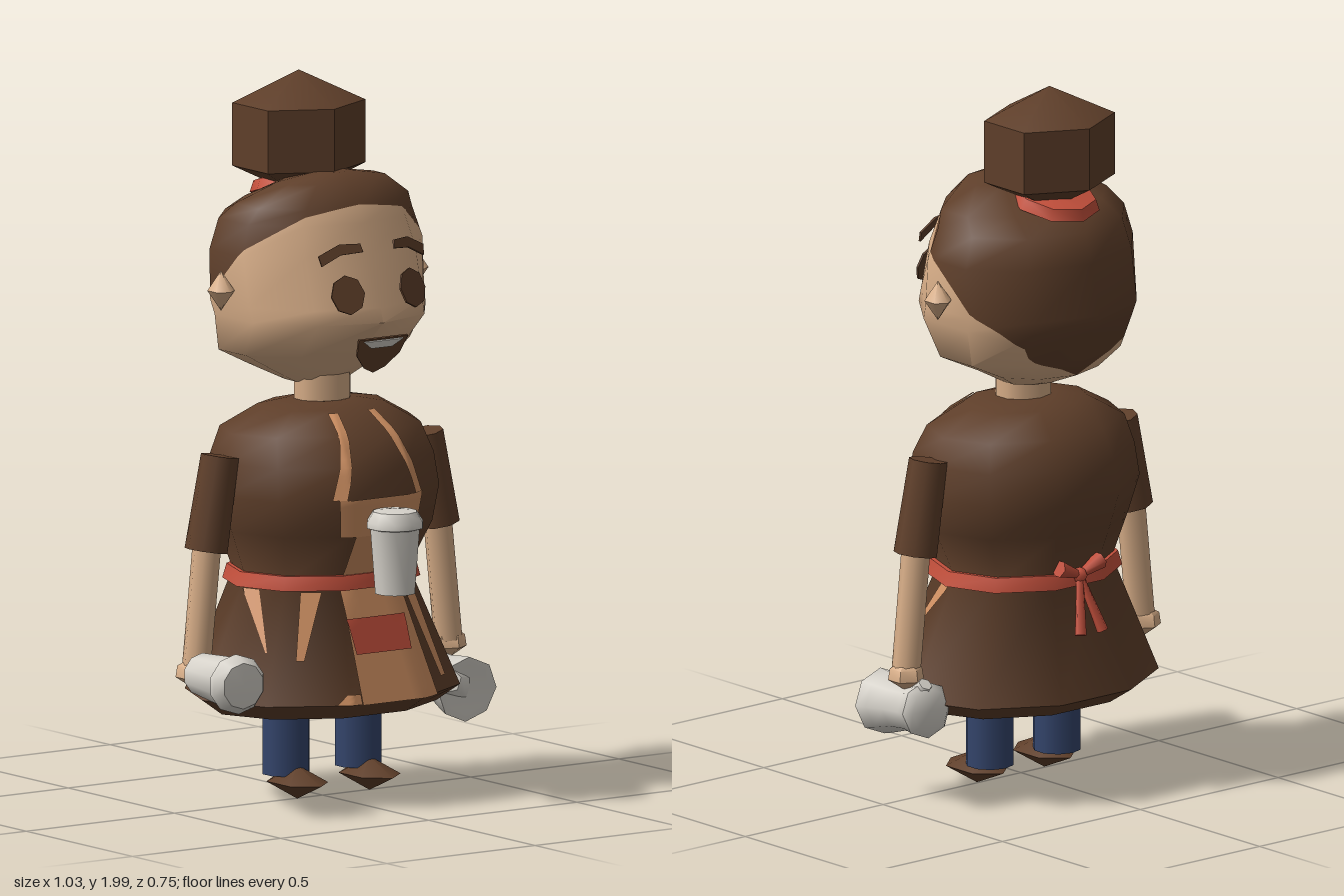
import * as THREE from 'three';
import { toCreasedNormals } from 'three/addons/utils/BufferGeometryUtils.js';

const CX = 0.033, CZ = -0.048; // body axis
const mat = (name, color, side = THREE.FrontSide) => {
  const m = new THREE.MeshStandardMaterial({ color, side });
  m.name = name;
  return m;
};
const V = (x, y, z) => new THREE.Vector3(x, y, z);

// Closed loft through ten-sided rings [y, rx, zFront, zBack], listed top to bottom
function loft(rings, phi0 = 0, n = 10) {
  const pos = [], idx = [], k = 1 / Math.cos(phi0);
  for (const [y, rx, zf, zb] of rings)
    for (let j = 0; j < n; j++) {
      const a = phi0 + (j / n) * Math.PI * 2;
      pos.push(CX + rx * Math.sin(a), y, (zf + zb) / 2 + ((zf - zb) / 2) * k * Math.cos(a));
    }
  const ends = [rings[0], rings[rings.length - 1]];
  for (const [y, , zf, zb] of ends) pos.push(CX, y, (zf + zb) / 2);
  const top = rings.length * n, last = (rings.length - 1) * n;
  for (let j = 0; j < n; j++) {
    const q = (j + 1) % n;
    for (let i = 0; i < rings.length - 1; i++) {
      const a = i * n + j, b = i * n + q;
      idx.push(a, a + n, b, b, a + n, b + n);
    }
    idx.push(top, j, q, top + 1, last + q, last + j);
  }
  const g = new THREE.BufferGeometry();
  g.setAttribute('position', new THREE.Float32BufferAttribute(pos, 3));
  g.setIndex(idx);
  return toCreasedNormals(g, 1.1);
}

// Cut a geometry along a plane: returns [part where f >= 0, part where f < 0]
function split(geo, f) {
  const P = geo.attributes.position, N = geo.attributes.normal;
  const build = (sign) => {
    const pos = [], nor = [];
    for (let t = 0; t < P.count; t += 3) {
      const poly = [];
      for (let i = 0; i < 3; i++) {
        const [a, b] = [t + i, t + ((i + 1) % 3)];
        const pa = V().fromBufferAttribute(P, a), pb = V().fromBufferAttribute(P, b);
        const na = V().fromBufferAttribute(N, a), nb = V().fromBufferAttribute(N, b);
        const da = sign * f(pa), db = sign * f(pb);
        if (da >= 0) poly.push([pa, na]);
        if (da >= 0 !== db >= 0) {
          const u = da / (da - db);
          poly.push([pa.clone().lerp(pb, u), na.clone().lerp(nb, u).normalize()]);
        }
      }
      for (let i = 1; i + 1 < poly.length; i++)
        for (const [p, q] of [poly[0], poly[i], poly[i + 1]]) { pos.push(...p); nor.push(...q); }
    }
    const g = new THREE.BufferGeometry();
    g.setAttribute('position', new THREE.Float32BufferAttribute(pos, 3));
    g.setAttribute('normal', new THREE.Float32BufferAttribute(nor, 3));
    return g;
  };
  return [build(1), build(-1)];
}

const DRESS = [[1.105, .1, .03, -.13], [1.09, .19, .08, -.19], [1.03, .3, .16, -.275], [.95, .325, .21, -.31],
  [.86, .335, .232, -.33], [.76, .31, .22, -.3], [.63, .255, .15, -.26], [.3, .405, .262, -.355], [.255, .34, .2, -.29]];

// Front surface of the dress at (x, y)
function dressZ(x, y) {
  let i = 0;
  while (i < DRESS.length - 2 && DRESS[i + 1][0] > y) i++;
  const u = (DRESS[i][0] - y) / (DRESS[i][0] - DRESS[i + 1][0]);
  const [rx, zf, zb] = [1, 2, 3].map((k) => DRESS[i][k] + (DRESS[i + 1][k] - DRESS[i][k]) * u);
  const s = Math.min(1, Math.abs(x - CX) / rx);
  const c = s < .309 ? 1 : s < .809 ? 1 - (s - .309) * .764 : .618 * (1 - (s - .809) / .191);
  return (zf + zb) / 2 + ((zf - zb) / 2) * c;
}

// Cloth patch lying on the dress front, from edge [xl, xr, y] down to another
function patch(a, b, offset) {
  const g = new THREE.PlaneGeometry(1, 1, 8, 10), p = g.attributes.position;
  for (let i = 0; i < p.count; i++) {
    const u = p.getX(i) + .5, v = .5 - p.getY(i);
    const [l, r, y] = a.map((s, k) => s + (b[k] - s) * v);
    const x = l + (r - l) * u;
    p.setXYZ(i, x, y, dressZ(x, y) + offset);
  }
  g.computeVertexNormals();
  return g;
}

const lathe = (pts, n) => toCreasedNormals(new THREE.LatheGeometry(pts.map((p) => new THREE.Vector2(...p)), n), .9);
const bicone = (n) => lathe([[0, -1], [1, 0], [0, 1]], n);
const plate = (pts) => new THREE.ExtrudeGeometry(new THREE.Shape(pts.map((p) => new THREE.Vector2(...p))),
  { depth: .006, bevelEnabled: false });

export function createModel() {
  const model = new THREE.Group();
  const brown = mat('brown', 0x5f3f2a), skin = mat('skin', 0xd8ae88), blue = mat('denim blue', 0x34456c);
  const apron = mat('apron tan', 0xcf9062, THREE.DoubleSide), red = mat('red', 0xc4503c, THREE.DoubleSide);
  const grey = mat('pale grey', 0xd6d2ca);

  const add = (name, geo, m, pos = [0, 0, 0], rot = [0, 0, 0], scale = [1, 1, 1]) => {
    const mesh = new THREE.Mesh(geo, m);
    mesh.name = name;
    mesh.position.set(...pos);
    mesh.rotation.set(...rot);
    mesh.scale.set(...scale);
    model.add(mesh);
    return mesh;
  };
  // Tapered rod from a to b
  const rod = (name, m, a, b, ra, rb, n) => {
    const d = b.clone().sub(a);
    const mesh = add(name, new THREE.CylinderGeometry(rb, ra, d.length(), n), m, a.clone().add(b).multiplyScalar(.5).toArray());
    mesh.quaternion.setFromUnitVectors(V(0, 1, 0), d.normalize());
    return mesh;
  };

  // Head, cut into hair and face along a slanting hairline
  const head = loft([[1.74, .05, .03, -.04], [1.72, .17, .085, -.1], [1.66, .265, .13, -.23], [1.615, .29, .148, -.31],
    [1.53, .318, .18, -.335], [1.39, .31, .227, -.37], [1.35, .305, .24, -.355], [1.25, .29, .13, -.3],
    [1.2, .18, .055, -.27], [1.155, .09, 0, -.16]]);
  const [hair, rest] = split(head, (p) => p.y - 1.55 - .9 * p.z);
  const [nape, face] = split(rest, (p) => -.27 - p.z);
  add('hair', hair, brown);
  add('napeHair', nape, brown);
  add('face', face, skin);
  add('bun', lathe([[0, -.175], [.19, -.0875], [.19, .0875], [0, .175]], 6), brown, [CX, 1.825, -.158], [0, 0, 0], [1, 1, .88]);
  add('hairTie', lathe([[.08, -.02], [.125, 0], [.11, .03], [.05, .04]], 8), red, [CX, 1.675, -.18], [-.25, 0, 0]);
  add('neck', new THREE.CylinderGeometry(.083, .083, .14, 10), skin, [CX, 1.15, CZ], [0, 0, 0], [1, 1, .9]);

  // Face details
  const octagon = Array.from({ length: 8 }, (_, i) => [.05 * Math.sin(i * Math.PI / 4), .055 * Math.cos(i * Math.PI / 4)]);
  for (const s of [-1, 1]) {
    add('ear', bicone(6), skin, [CX + s * .327, 1.43, -.068], [0, 0, 0], [.036, .056, .042]);
    add('eye', plate(octagon), brown, [CX + s * .108, 1.435, .222], [-.3, s * .22, 0]);
    const brow = [[-.065, .0], [-.06, .024], [0, .03], [.065, .006], [.06, -.024], [0, 0]].map(([x, y]) => [s * x, y]);
    add('eyebrow', plate(s > 0 ? brow.reverse() : brow), brown, [CX + s * .113, 1.543, .196], [-.3, s * .3, 0]);
  }
  add('mouth', plate([[-.083, .055], [-.072, 0], [-.035, -.043], [0, -.06], [.035, -.043], [.072, 0], [.083, .055]]),
    brown, [CX, 1.262, .212], [.45, 0, 0]);
  add('teeth', plate([[-.066, .045], [-.035, .022], [.035, .022], [.066, .045]]), grey, [CX, 1.264, .218], [.45, 0, 0]);

  // Dress, belt and bow
  add('dress', loft(DRESS, Math.PI / 10), brown);
  add('belt', loft([[.645, .274, .172, -.274], [.605, .286, .18, -.284]], Math.PI / 10), red);
  add('bowKnot', new THREE.SphereGeometry(.022, 6, 4), red, [CX, .635, -.285]);
  for (const s of [-1, 1]) {
    rod('bowLoop', red, V(CX, .635, -.285), V(CX + s * .075, .665, -.285), .01, .025, 6);
    rod('bowTail', red, V(CX, .635, -.285), V(CX + s * .04, .48, -.335), .01, .017, 5);
  }

  // Apron: bib, straps, skirt panel, pocket and side edges
  add('apronBib', patch([-.1, .19, .865], [-.09, .17, .76], .008), apron);
  add('apronBibCentre', patch([-.05, .115, .76], [-.05, .115, .645], .008), apron);
  add('apronPanel', patch([-.06, .15, .605], [-.06, .215, .3], .014), apron);
  add('apronPanelFoot', patch([-.1, -.06, .33], [-.13, -.06, .302], .012), apron);
  add('pocket', patch([-.065, .13, .53], [-.055, .13, .435], .022), red);
  for (const s of [-1, 1]) {
    const strip = (name, a, b) => {
      const flip = ([l, r, y]) => (s > 0 ? [CX + l, CX + r, y] : [CX - r, CX - l, y]);
      add(name, patch(flip(a), flip(b), .01), apron);
    };
    strip('apronStrap', [.05, .078, 1.085], [.115, .15, .865]);
    strip('apronEdge', [.135, .185, .6], s > 0 ? [.225, .25, .34] : [.215, .235, .42]);
    strip('apronTie', [.25, .27, .6], [.288, .29, .44]);
  }

  // Arms, legs and shoes
  for (const s of [-1, 1]) {
    const at = (x, y, z = CZ) => V(CX + s * x, y, z);
    rod('sleeve', brown, at(.392, .715), at(.345, .975), .06, .053, 8);
    rod('forearm', skin, at(.425, .39), at(.388, .74), .04, .04, 8);
    add('hand', lathe([[0, -.045], [.05, -.012], [.045, .02], [0, .045]], 6), skin, at(.43, .38, -.053).toArray());
    add('leg', new THREE.CylinderGeometry(.067, .067, .23, 10), blue, at(.122, .185).toArray());
    add('shoe', bicone(6), brown, at(.122, .053, .005).toArray(), [0, 0, 0], [.075, .047, .11]);
  }

  // Cups: one upright in front, one held forward
  const cup = lathe([[0, 0], [.057, 0], [.071, .18], [.08, .183], [.08, .2], [.062, .228], [0, .235]], 10);
  add('frontCup', cup, grey, [CX, .607, .295]);
  add('heldCup', cup, grey, [-.41, .385, .005], [Math.PI / 2, 0, .1], [1.03, 1, 1.03]);

  // Pitcher with flared ends, spout and handle
  const pitcher = lathe([[0, -.13], [.06, -.13], [.08, -.11], [.07, -.07], [.072, 0], [.085, .06], [.092, .1], [.07, .1], [0, .08]], 8);
  add('pitcher', pitcher, grey, [.435, .28, -.01], [Math.PI / 2 + .1, 0, .1]);
  rod('pitcherSpout', grey, V(.42, .28, .03), V(.365, .3, .085), .06, .035, 6);
  rod('pitcherHandle', grey, V(.45, .34, -.1), V(.45, .365, -.12), .03, .02, 6);
  return model;
}
